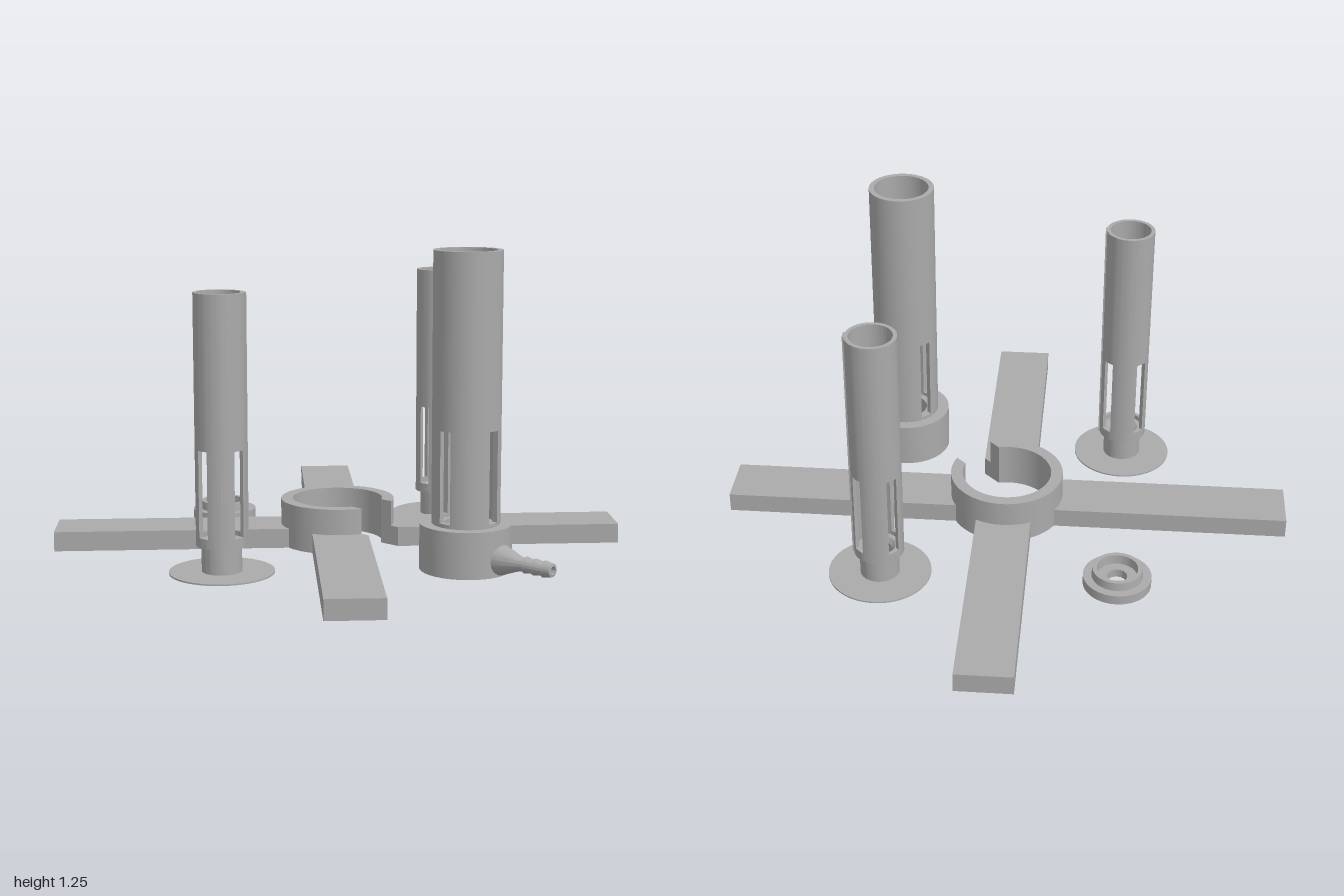
import * as THREE from 'three';
import { toCreasedNormals } from 'three/addons/utils/BufferGeometryUtils.js';

const grey = new THREE.MeshStandardMaterial({ color: 0xaaaaaa });
grey.name = 'plain grey';

function addMesh(parent, name, geometry) {
  const mesh = new THREE.Mesh(toCreasedNormals(geometry, 0.5), grey);
  mesh.name = name;
  parent.add(mesh);
  return mesh;
}

// Extrudes a plan shape from height y0 to y1.
function slab(shape, y0, y1) {
  return new THREE.ExtrudeGeometry(shape, { depth: y1 - y0, bevelEnabled: false, curveSegments: 40 })
    .rotateX(-Math.PI / 2).translate(0, y0, 0);
}

// Lathe from a closed outline of [radius, height] points.
function turned(points) {
  return new THREE.LatheGeometry(points.map(([r, y]) => new THREE.Vector2(r, y)), 64);
}

// Part of a ring spanning an angle, with straight sides set back from the end rays.
function sector(outer, inner, setback, start, span) {
  const a = Math.asin(setback / outer), b = Math.asin(setback / inner);
  const s = new THREE.Shape();
  s.absarc(0, 0, outer, start + a, start + span - a, false);
  s.absarc(0, 0, inner, start + span - b, start + b, true);
  s.closePath();
  return s;
}

function ring(outer, inner) {
  const s = new THREE.Shape().absarc(0, 0, outer, 0, Math.PI * 2, false);
  s.holes.push(new THREE.Path().absarc(0, 0, inner, 0, Math.PI * 2, true));
  return s;
}

// Tube with four upright windows between slot0 and slot1.
function slottedTube(parent, outer, inner, halfSlot, y0, slot0, slot1, y1) {
  addMesh(parent, 'tubeLower', slab(ring(outer, inner), y0, slot0));
  for (let i = 0; i < 4; i++) {
    addMesh(parent, 'tubeWindowWall', slab(sector(outer, inner, halfSlot, i * Math.PI / 2, Math.PI / 2), slot0, slot1));
  }
  addMesh(parent, 'tubeUpper', slab(ring(outer, inner), slot1, y1));
}

// Open collar with four diagonal feet.
function makeStand() {
  const stand = new THREE.Group();
  stand.name = 'stand';
  stand.position.x = -0.095;
  addMesh(stand, 'collar', slab(sector(0.235, 0.186, 0.093, 0, Math.PI * 2), 0, 0.185));
  const plain = [[0.221, 0.061], [0.905, 0.745], [0.745, 0.905], [0.061, 0.221]];
  const trimmed = [[0.18, 0.093], [0.253, 0.093], ...plain.slice(1)];
  for (const sx of [1, -1]) {
    for (const sz of [1, -1]) {
      const pts = (sx > 0 ? trimmed : plain).map(([x, z]) => new THREE.Vector2(x * sx, z * sz));
      addMesh(stand, 'foot', slab(new THREE.Shape(pts), 0, 0.08));
    }
  }
  return stand;
}

// Slim slotted tube on a thin round base.
function makeSlimTube(z, hole) {
  const g = new THREE.Group();
  g.name = 'slimTube';
  g.position.set(-0.095, 0, z);
  addMesh(g, 'baseDiscAndNeck', turned([
    [hole, 0], [0.207, 0], [0.207, 0.006], [0.079, 0.006], [0.079, 0.11],
    [0.1, 0.11], [0.1, 0.13], [0.066, 0.13], [hole, 0.11], [hole, 0]
  ]));
  slottedTube(g, 0.1, 0.084, 0.0235, 0.13, 0.15, 0.493, 1.098);
  // Guide rib along the back corner
  const rib = new THREE.BoxGeometry(0.014, 0.988, 0.034).translate(0.098, 0.604, 0);
  addMesh(g, 'guideRib', rib.rotateY(Math.PI / 4));
  return g;
}

// Wide slotted tube on a cup with a hose nozzle.
function makeTower() {
  const g = new THREE.Group();
  g.name = 'tower';
  g.position.x = 0.582;
  addMesh(g, 'cup', turned([
    [0, 0], [0.182, 0], [0.182, 0.185], [0.085, 0.185], [0.085, 0.045], [0, 0.045]
  ]));
  slottedTube(g, 0.135, 0.113, 0.025, 0.185, 0.2, 0.563, 1.255);
  // Cup floor with a drain hole and a channel toward the nozzle
  const floor = new THREE.Shape().absarc(0, 0, 0.085, 0.22, Math.PI * 2 - 0.22, false);
  floor.absarc(0, 0, 0.027, -0.76, 0.76, true);
  floor.closePath();
  addMesh(g, 'cupFloor', slab(floor, 0.045, 0.08));
  // Nozzle with three barbs
  const outline = [[0.016, 0.13], [0.0625, 0.13], [0.0625, 0.175], [0.03, 0.262]];
  for (const x of [0.29, 0.333, 0.376]) outline.push([0.025, x], [0.033, x + 0.002], [0.026, x + 0.04]);
  outline.push([0.016, 0.418], [0.016, 0.13]);
  addMesh(g, 'hoseNozzle', turned(outline).rotateZ(-Math.PI / 2).translate(0, 0.063, 0));
  return g;
}

export function createModel() {
  const model = new THREE.Group();
  model.name = 'tubeStandKit';
  model.add(makeStand(), makeSlimTube(0.675, 0.037), makeSlimTube(-0.675, 0.052), makeTower());

  // Loose stepped cap
  const cap = addMesh(model, 'cap', turned([
    [0.04, 0], [0.137, 0], [0.137, 0.04], [0.103, 0.04], [0.1, 0.075],
    [0.082, 0.075], [0.08, 0.035], [0.04, 0.035], [0.04, 0]
  ]));
  cap.position.x = -0.77;
  return model;
}
